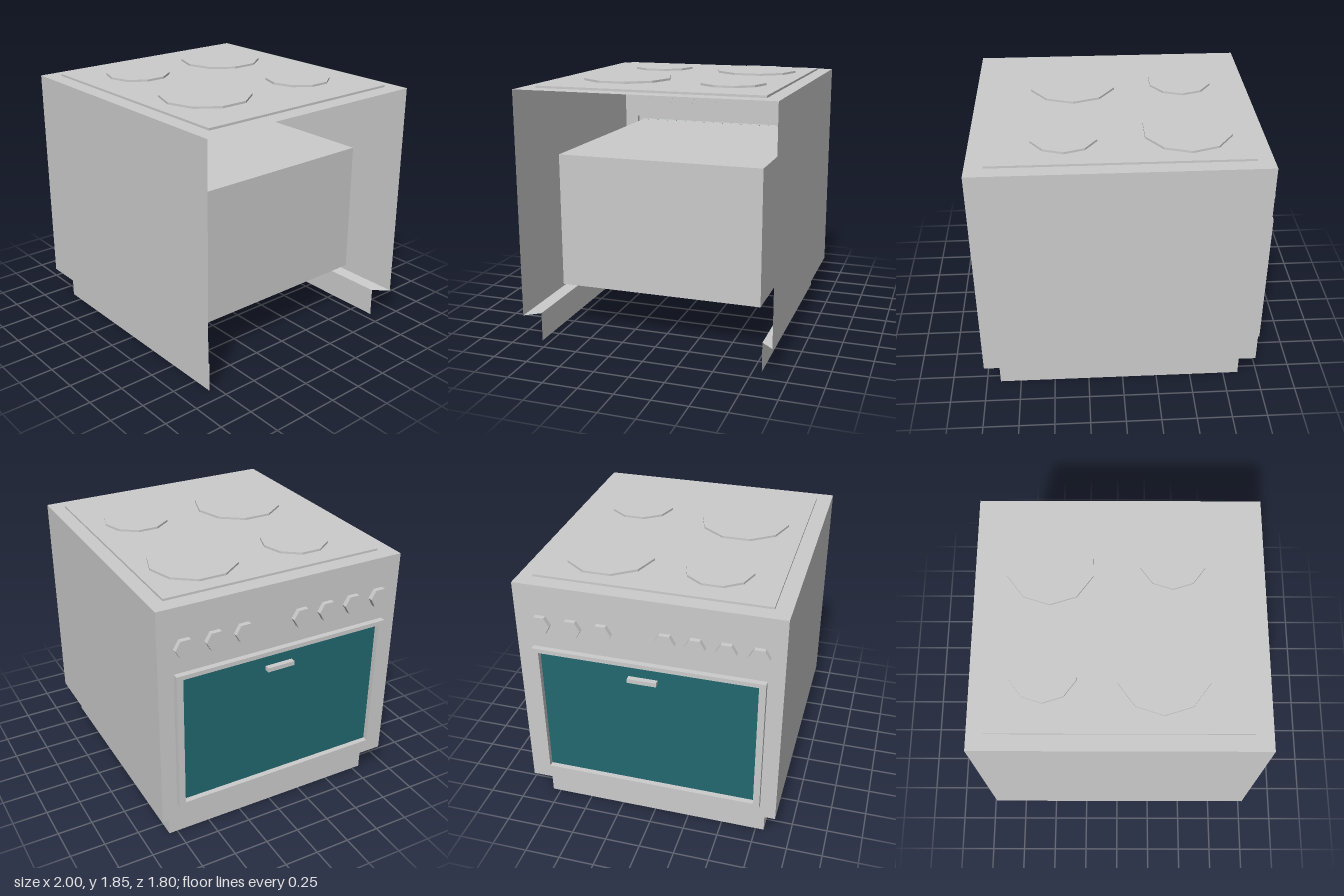
import * as THREE from 'three';
import { mergeGeometries } from 'three/addons/utils/BufferGeometryUtils.js';

const grey = new THREE.MeshStandardMaterial({ color: 0xcccccc, flatShading: true, side: THREE.DoubleSide });
const glassMat = new THREE.MeshStandardMaterial({ color: 0x21686e, side: THREE.DoubleSide });

// 2D outlines, counter-clockwise
const rect = (x0, x1, y0, y1) => [[x0, y0], [x1, y0], [x1, y1], [x0, y1]].map(p => new THREE.Vector2(...p));
const decagon = (cx, cy, r) => Array.from({ length: 10 }, (_, i) => {
  const a = Math.PI / 2 + i * Math.PI / 5;
  return new THREE.Vector2(cx + r * Math.cos(a), cy + r * Math.sin(a));
});

// Flat sheet with holes at height d
function sheet(outline, holes, d) {
  const s = new THREE.Shape(outline);
  s.holes = holes.map(h => new THREE.Path(h));
  const g = new THREE.ShapeGeometry(s).toNonIndexed().translate(0, 0, d);
  g.deleteAttribute('uv');
  return g;
}

// Strip of quads joining two rows of 3D points
function strip(a, b, closed) {
  const v = [];
  for (let i = 0; i < a.length - (closed ? 0 : 1); i++) {
    const j = (i + 1) % a.length;
    for (const p of [a[i], a[j], b[j], a[i], b[j], b[i]]) v.push(p.x, p.y, p.z);
  }
  const g = new THREE.BufferGeometry();
  g.setAttribute('position', new THREE.Float32BufferAttribute(v, 3));
  g.computeVertexNormals();
  return g;
}

// Upright rim along an outline between heights d0 and d1
const rim = (outline, d0, d1) => strip(
  outline.map(p => new THREE.Vector3(p.x, p.y, d0)),
  outline.map(p => new THREE.Vector3(p.x, p.y, d1)), true);

export function createModel() {
  const group = new THREE.Group();
  const add = (name, geo, mat = grey) => {
    const m = new THREE.Mesh(geo, mat);
    m.name = name;
    group.add(m);
    return m;
  };
  // Sheets drawn in (x, -z), facing up; sheets drawn in (z, y), facing -x
  const faceUp = (name, ...gs) => add(name, mergeGeometries(gs).rotateX(-Math.PI / 2));
  const faceDoor = (name, mat, ...gs) => add(name, mergeGeometries(gs).rotateY(-Math.PI / 2), mat);

  // Shell, open at +x and below: plinth, sloping ledge, side walls
  const section = (x0, x1, z, y) =>
    [[x1, z], [x0, z], [x0, -z], [x1, -z]].map(([x, w]) => new THREE.Vector3(x, y, w));
  const foot = section(-0.86, 0.9, 0.81, 0);
  const footTop = section(-0.86, 0.9, 0.81, 0.21);
  const low = section(-0.96, 1, 0.9, 0.22);
  const high = section(-0.96, 1, 0.9, 1.82);
  add('plinth', strip(footTop, foot, false));
  add('ledge', strip(low, footTop, false));
  for (const [name, i] of [['leftWall', 0], ['rightWall', 2]])
    add(name, strip(high.slice(i, i + 2), low.slice(i, i + 2), false));

  // Control wall and hollow raised door frame
  const doorOuter = rect(-0.79, 0.79, 0.33, 1.36);
  const doorInner = rect(-0.745, 0.745, 0.36, 1.33);
  faceDoor('controlWall', grey, sheet(rect(-0.9, 0.9, 0.22, 1.82), [doorOuter], 0.96));
  faceDoor('doorFrame', grey,
    sheet(doorOuter, [doorInner], 1), rim(doorOuter, 0.96, 1), rim([...doorInner].reverse(), 0.96, 1));
  faceDoor('doorGlass', glassMat, sheet(doorInner, [], 0.962));
  add('doorHandle', new THREE.BoxGeometry(0.038, 0.03, 0.2)).position.set(-0.98, 1.22, -0.03);

  // Oven box behind the door
  const oven = rect(-0.74, 0.737, 0.365, 1.33);
  faceDoor('ovenBox', grey, sheet(oven, [], -0.68), rim(oven, -0.68, 0.958));

  // Hexagonal knobs, one corner up
  for (const z of [-0.72, -0.508, -0.3, 0.125, 0.323, 0.525, 0.735]) {
    const knob = new THREE.CylinderGeometry(0.07, 0.07, 0.035, 6).rotateY(Math.PI / 2);
    knob.rotateX(Math.PI / 2).rotateY(-Math.PI / 2);
    add('knob', knob).position.set(-0.976, 1.54, z);
  }

  // Top, raised hob plate and burners as one stepped skin
  const plate = rect(-0.85, 0.88, -0.79, 0.8);
  const burners = [[-0.45, 0.4, 0.305], [0.375, 0.442, 0.232], [-0.48, -0.36, 0.232], [0.305, -0.355, 0.318]]
    .map(b => decagon(...b));
  faceUp('top', sheet(rect(-0.96, 1, -0.9, 0.9), [plate], 1.82));
  faceUp('hobPlate', rim(plate, 1.82, 1.835), sheet(plate, burners, 1.835));
  for (const b of burners) faceUp('burner', rim(b, 1.835, 1.85), sheet(b, [], 1.85));
  return group;
}
